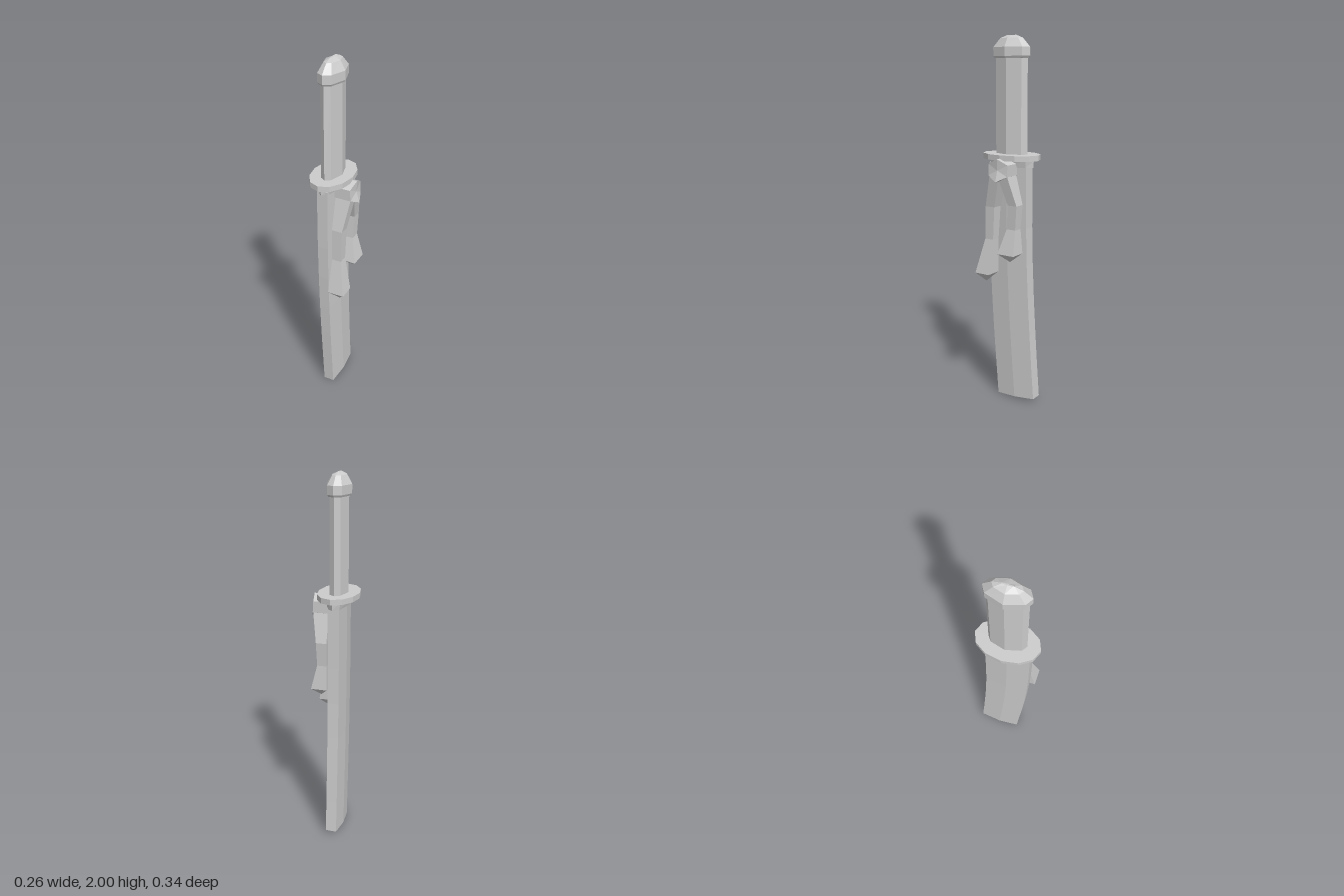
import * as THREE from 'three';

const material = new THREE.MeshStandardMaterial({ color: 0xcccccc, flatShading: true, side: THREE.DoubleSide });
const CX = -0.02; // centre line of the sword in x

// Skin a stack of equal-length rings of [x, y, z] points and close both ends.
function loft(name, rings) {
  const pos = [];
  const n = rings[0].length;
  const centre = (ring) => [0, 1, 2].map((k) => ring.reduce((s, p) => s + p[k], 0) / n);
  const first = rings[0], last = rings[rings.length - 1];
  const c0 = centre(first), c1 = centre(last);
  for (let i = 0; i < n; i++) {
    const j = (i + 1) % n;
    for (let r = 0; r < rings.length - 1; r++) {
      const a = rings[r], b = rings[r + 1];
      pos.push(...a[i], ...b[i], ...a[j], ...a[j], ...b[i], ...b[j]);
    }
    pos.push(...c0, ...first[i], ...first[j], ...c1, ...last[j], ...last[i]);
  }
  const geo = new THREE.BufferGeometry();
  geo.setAttribute('position', new THREE.Float32BufferAttribute(pos, 3));
  geo.computeVertexNormals();
  const mesh = new THREE.Mesh(geo, material);
  mesh.name = name;
  return mesh;
}

// Ellipse with n corners
const ellipse = (n, rx, rz, y) => Array.from({ length: n }, (_, i) => {
  const a = (i / n) * Math.PI * 2;
  return [CX + rx * Math.cos(a), y, rz * Math.sin(a)];
});

// Long octagon of the grip, pointed towards front and back
const octagon = (rx, rz, y) => [
  [1, 0], [0.57, 0.8], [0, 1], [-0.57, 0.8], [-1, 0], [-0.57, -0.8], [0, -1], [0.57, -0.8],
].map(([x, z]) => [CX + x * rx, y, z * rz]);

// Six-sided scabbard section from front edge to back edge
const scabbardRing = ([yFront, zFront, yBack, zBack]) => {
  const y = (yFront + yBack) / 2, z = (zFront + zBack) / 2;
  return [
    [CX + 0.041, y, z], [CX + 0.03, yFront, zFront], [CX - 0.03, yFront, zFront],
    [CX - 0.041, y, z], [CX - 0.03, yBack, zBack], [CX + 0.03, yBack, zBack],
  ];
};

// Rectangular cord section
const cordRing = ([y, x0, x1, z0, z1]) => [[x1, y, z0], [x1, y, z1], [x0, y, z1], [x0, y, z0]];

export function createModel() {
  const group = new THREE.Group();
  group.name = 'sheathedSword';

  // Curved scabbard: [front y, front z, back y, back z]
  group.add(loft('scabbard', [
    [0.005, 0.07, 0.028, -0.168], [0.2, 0.085, 0.21, -0.154], [0.4, 0.1, 0.4, -0.141],
    [0.6, 0.112, 0.6, -0.129], [0.8, 0.12, 0.8, -0.12], [1.0, 0.125, 1.0, -0.115],
    [1.34, 0.125, 1.34, -0.113],
  ].map(scabbardRing)));

  // Collar, guard, grip and pommel
  group.add(loft('collar', [octagon(0.055, 0.138, 1.325), octagon(0.065, 0.142, 1.365)]));
  group.add(loft('guard', [ellipse(12, 0.11, 0.17, 1.363), ellipse(12, 0.11, 0.17, 1.392)]));
  group.add(loft('grip', [octagon(0.05, 0.1, 1.385), octagon(0.05, 0.1, 1.89)]));
  group.add(loft('pommel', [
    octagon(0.06, 0.106, 1.885), octagon(0.065, 0.113, 1.895), octagon(0.065, 0.113, 1.94),
    octagon(0.038, 0.07, 1.985), octagon(0.004, 0.03, 2.0),
  ]));

  // Hexagonal knot, its outer face leaning outwards at the bottom
  const hex = [[0, 1.375], [-0.06, 1.345], [-0.06, 1.285], [0, 1.255], [0.06, 1.285], [0.06, 1.345]];
  const outerX = [0.115, 0.104, 0.108, 0.13, 0.108, 0.104];
  group.add(loft('knot', [
    hex.map(([z, y]) => [0.015, y, z]),
    hex.map(([z, y], i) => [outerX[i], y, z]),
  ]));

  // Two hanging cords with flared, pointed ends: [y, x0, x1, z0, z1]
  group.add(loft('frontCord', [
    [0.69, 0.069, 0.071, 0.104, 0.106], [0.738, 0.022, 0.113, 0.06, 0.149],
    [0.93, 0.026, 0.077, 0.054, 0.106], [1.11, 0.022, 0.08, 0.043, 0.1],
    [1.3, 0.02, 0.108, -0.01, 0.05],
  ].map(cordRing)));
  group.add(loft('backCord', [
    [0.82, 0.065, 0.067, -0.051, -0.049], [0.865, 0.022, 0.11, -0.1, 0.002],
    [1.0, 0.026, 0.077, -0.09, -0.036], [1.13, 0.022, 0.08, -0.1, -0.045],
    [1.3, 0.02, 0.108, -0.054, 0.01],
  ].map(cordRing)));

  return group;
}
